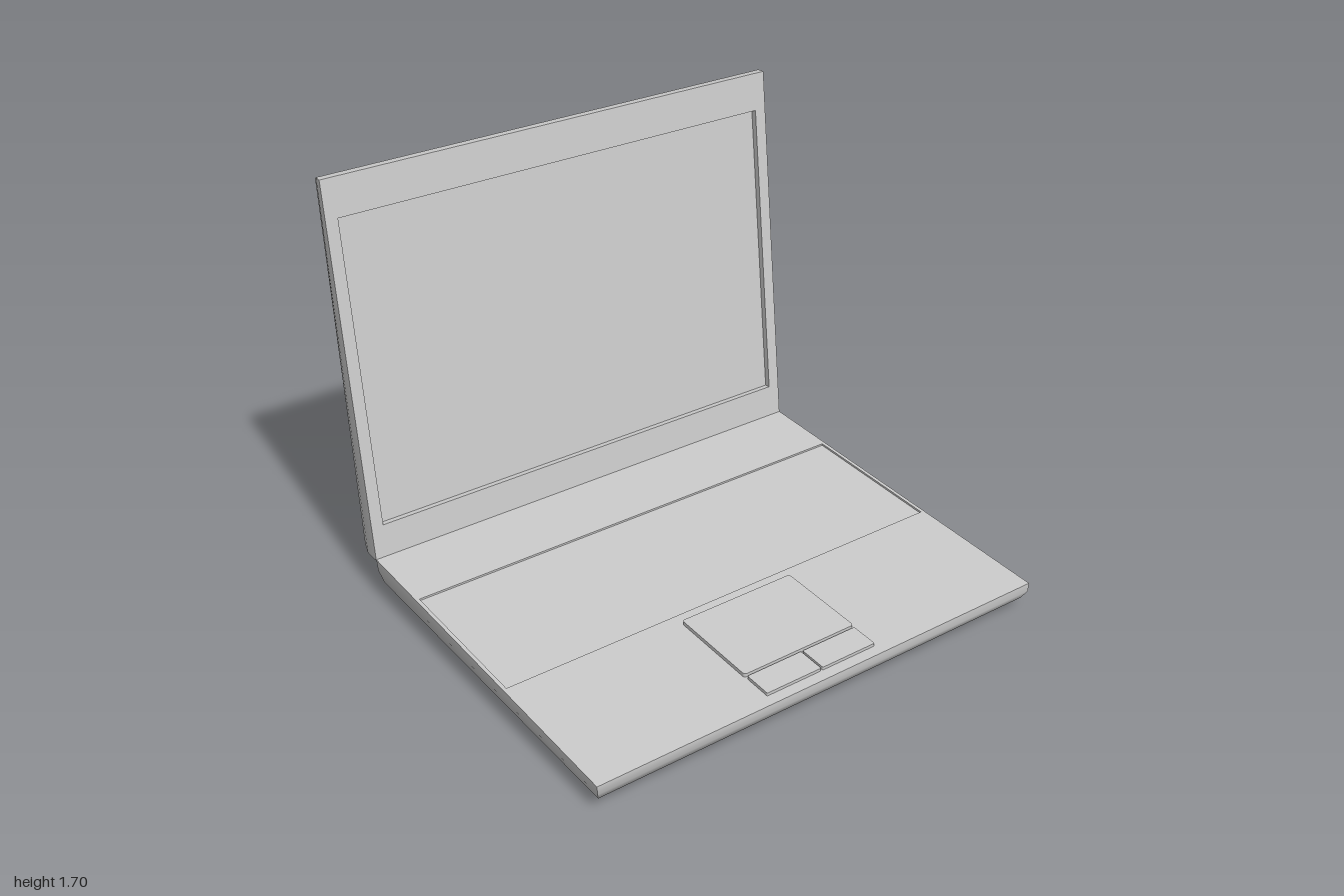
import * as THREE from 'three';

const material = new THREE.MeshStandardMaterial({ color: 0xcccccc });
const thin = new THREE.MeshStandardMaterial({ color: 0xcccccc, side: THREE.DoubleSide });

function addMesh(parent, name, geometry, mat = material) {
  const mesh = new THREE.Mesh(geometry, mat);
  mesh.name = name;
  parent.add(mesh);
  return mesh;
}

// Mitred tray through rectangular rings [halfWidth, yA, zA, yB, zB], closed at the last ring.
// Each side has its own vertices: smooth along the curve, sharp at the corners.
function tray(rings) {
  const corners = rings.map(([x, ya, za, yb, zb]) =>
    [[-x, ya, za], [x, ya, za], [x, yb, zb], [-x, yb, zb]]);
  const positions = [], index = [];
  for (let j = 0; j < 4; j++) {
    const start = positions.length / 3;
    for (const c of corners) positions.push(...c[j], ...c[(j + 1) % 4]);
    for (let i = 0; i < rings.length - 1; i++) {
      const p = start + i * 2;
      index.push(p, p + 2, p + 3, p, p + 3, p + 1);
    }
  }
  const cap = positions.length / 3;
  positions.push(...corners[corners.length - 1].flat());
  index.push(cap, cap + 3, cap + 2, cap, cap + 2, cap + 1);
  const geometry = new THREE.BufferGeometry();
  geometry.setAttribute('position', new THREE.Float32BufferAttribute(positions, 3));
  geometry.setIndex(index);
  geometry.computeVertexNormals();
  return geometry;
}

// Rounded rectangle between two corners
function roundedRect(x0, y0, x1, y1, r) {
  const s = new THREE.Shape();
  s.absarc(x1 - r, y0 + r, r, -Math.PI / 2, 0);
  s.absarc(x1 - r, y1 - r, r, 0, Math.PI / 2);
  s.absarc(x0 + r, y1 - r, r, Math.PI / 2, Math.PI);
  s.absarc(x0 + r, y0 + r, r, Math.PI, Math.PI * 1.5);
  s.closePath();
  return s;
}

// Half of the case: rounded shell plus an inner face with a sunken panel.
// The returned face group has x across, y from edge A to edge B, z outwards.
function caseHalf(parent, name, rings, panelName, panel) {
  const half = new THREE.Group();
  half.name = name;
  parent.add(half);
  addMesh(half, name + 'Shell', tray(rings));

  const [w, ya, za, yb, zb] = rings[0];
  const length = Math.hypot(yb - ya, zb - za);
  const face = new THREE.Group();
  face.name = name + 'Face';
  face.position.set(0, ya, za);
  face.rotation.x = Math.atan2(zb - za, yb - ya);
  half.add(face);

  const { x, y0, y1, depth } = panel;
  const frame = roundedRect(-w, 0, w, length, 0.0005);
  frame.holes.push(new THREE.Path([
    new THREE.Vector2(-x, y0), new THREE.Vector2(-x, y1),
    new THREE.Vector2(x, y1), new THREE.Vector2(x, y0),
  ]));
  addMesh(face, name + 'Frame', new THREE.ShapeGeometry(frame));
  // Walls and floor of the sunken panel, flat shaded
  const recess = tray([[x, y0, 0, y1, 0], [x, y0, -depth, y1, -depth]]);
  addMesh(face, panelName, recess, thin);
  return face;
}

export function createModel() {
  const model = new THREE.Group();
  model.name = 'laptop';

  // Base, wedge shaped and thicker at the hinge
  const deck = caseHalf(model, 'base', [
    [1, 0.12, 0.91, 0.175, -0.635],
    [0.998, 0.085, 0.91, 0.125, -0.63],
    [0.985, 0.05, 0.892, 0.075, -0.612],
    [0.95, 0.02, 0.85, 0.027, -0.57],
    [0.86, 0, 0.77, 0, -0.49],
  ], 'keyboardPanel', { x: 0.985, y0: 0.6, y1: 1.23, depth: 0.008 });

  // Lid, leaning back from the hinge
  caseHalf(model, 'lid', [
    [1, 0.17, -0.635, 1.7, -0.805],
    [0.998, 0.165, -0.71, 1.7, -0.835],
    [0.985, 0.18, -0.757, 1.682, -0.872],
    [0.95, 0.22, -0.795, 1.64, -0.897],
    [0.86, 0.29, -0.812, 1.55, -0.91],
  ], 'screen', { x: 0.95, y0: 0.14, y1: 1.385, depth: 0.025 });

  // Touchpad and its two buttons, raised from the deck
  const raised = (name, x0, y0, x1, y1, r, depth) => addMesh(deck, name,
    new THREE.ExtrudeGeometry(roundedRect(x0, y0, x1, y1, r),
      { depth, bevelEnabled: false, curveSegments: 4 }));
  raised('touchpad', -0.255, 0.17, 0.255, 0.55, 0.012, 0.015);
  raised('rightButton', -0.25, 0.045, -0.004, 0.16, 0.004, 0.013);
  raised('leftButton', 0.004, 0.045, 0.25, 0.16, 0.004, 0.013);

  return model;
}
